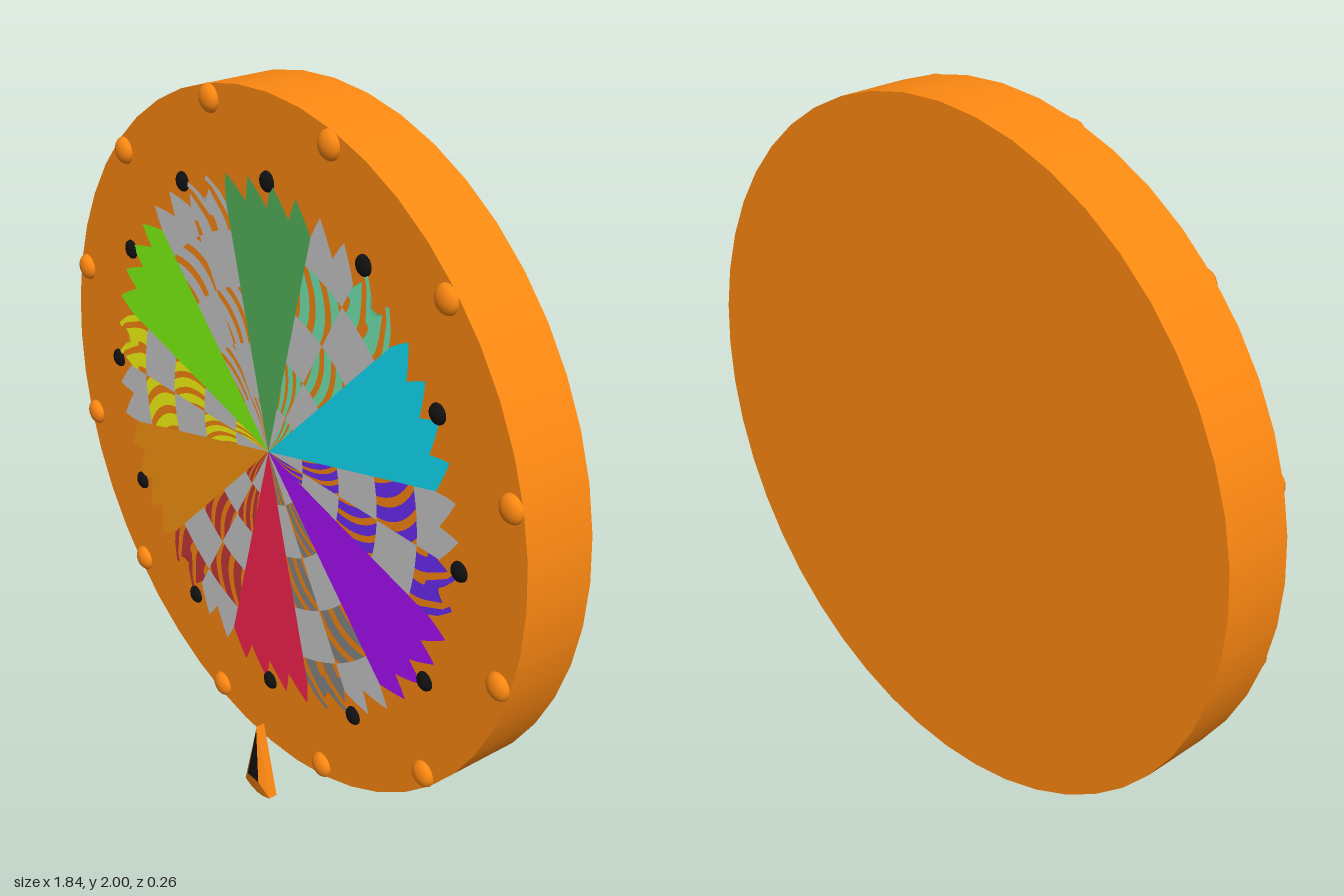
import * as THREE from 'three';

const CY = 1.08, FRONT = 0.065, R = 0.71, STEP = Math.PI / 6;
const ORANGE = 0xff8912;

const mat = (color, side = THREE.FrontSide) => new THREE.MeshStandardMaterial({ color, side });

// outer radius of the fan: slanted saw teeth, four per sector
function toothRadius(a) {
  const p = (((a + STEP / 2) / STEP * 4) % 1 + 1) % 1;
  return p < 0.82 ? 0.645 + 0.065 * p / 0.82 : 0.71 - 0.065 * (p - 0.82) / 0.18;
}

// flat patch between two radii; left(t) and right(t) give its side angles
function patch(r0, r1, left, right, nu, nv, z) {
  const g = new THREE.PlaneGeometry(1, 1, nu, nv);
  const p = g.attributes.position;
  for (let i = 0; i < p.count; i++) {
    const u = p.getX(i) + 0.5, t = p.getY(i) + 0.5;
    const a = left(t) + (right(t) - left(t)) * u;
    const end = r1 >= R ? toothRadius(a) : r1;
    const r = r0 + (end - r0) * t;
    p.setXYZ(i, r * Math.cos(a), r * Math.sin(a), z);
  }
  g.computeVertexNormals();
  return g;
}

export function createModel() {
  const root = new THREE.Group();
  const wheel = new THREE.Group();
  wheel.name = 'wheel';
  wheel.position.y = CY;
  root.add(wheel);

  const add = (parent, name, geometry, material) => {
    const m = new THREE.Mesh(geometry, material);
    m.name = name;
    parent.add(m);
    return m;
  };

  // thick round board
  const board = add(wheel, 'board', new THREE.CylinderGeometry(0.92, 0.92, 0.195, 48), mat(ORANGE));
  board.rotation.x = Math.PI / 2;
  board.position.z = FRONT - 0.0975;

  // sectors counter-clockwise from +x: checkered ones alternate with solid ones
  const colors = [0x6e2eff, 0x12e4ff, 0x76f0b8, 0x55b85c, 0xcccccc, 0x82ff12,
    0xffff12, 0xff9912, 0xcc3838, 0xff2450, 0x8a8a8a, 0xad10ff];
  const grey = mat(0xcccccc, THREE.DoubleSide);
  const clamp = (v) => Math.min(1, Math.max(0, v));
  colors.forEach((color, i) => {
    const a0 = (i - 0.5) * STEP;
    const paint = mat(color, THREE.DoubleSide);
    if (i % 2) {
      add(wheel, 'solidSector', patch(0, R, () => a0, () => a0 + STEP, 40, 1, FRONT + 0.003), paint);
      return;
    }
    const sector = new THREE.Group();
    sector.name = 'checkeredSector';
    wheel.add(sector);
    for (let half = 0; half < 2; half++) {
      const h0 = a0 + half * STEP / 2, span = STEP / 2;
      for (let ring = 0; ring < 5; ring++) {
        const r0 = ring * R / 5, r1 = ring === 4 ? R : (ring + 1) * R / 5;
        if ((ring + half) % 2) {
          add(sector, 'greyCell', patch(r0, r1, () => h0, () => h0 + span, 20, 2, FRONT + 0.003), grey);
          continue;
        }
        // slanted curved stripes, clipped to the cell
        for (let k = -1; k < 2; k++) {
          const edge = (off) => (t) => h0 + span * clamp(k * 0.5 + off + 0.55 * t * t);
          add(sector, 'stripe', patch(r0, r1, edge(0.08), edge(0.38), 6, 8, FRONT + 0.003), paint);
        }
      }
    }
  });

  // dark pegs round the fan and bulbs round the rim
  const black = mat(0x111111);
  const orange = mat(ORANGE);
  const pegGeo = new THREE.SphereGeometry(0.026, 12, 8);
  const bulbGeo = new THREE.SphereGeometry(0.036, 16, 12);
  for (let i = 0; i < 12; i++) {
    const ring = [['peg', pegGeo, black, 0.71, i * STEP], ['bulb', bulbGeo, orange, 0.885, (i + 0.5) * STEP]];
    for (const [name, geo, material, r, a] of ring) {
      const m = add(wheel, name, geo, material);
      m.position.set(r * Math.cos(a), r * Math.sin(a), FRONT);
      m.scale.z = 0.6;
    }
  }

  // pointer below the wheel: plate, bevelled rim and dark sloping face
  const pointer = new THREE.Group();
  pointer.name = 'pointer';
  root.add(pointer);
  const outline = [[0, 0.232], [-0.057, 0.015], [-0.03, 0.004], [0, 0], [0.03, 0.004], [0.057, 0.015]];
  const shape = new THREE.Shape(outline.map(([x, y]) => new THREE.Vector2(x, y)));
  const plate = add(pointer, 'pointerPlate',
    new THREE.ExtrudeGeometry(shape, { depth: 0.025, bevelEnabled: false }), orange);
  plate.position.z = 0.09;

  const outer = outline.map(([x, y]) => [x, y, 0.115]);
  const inner = [[0, 0.22, 0.117], [-0.025, 0.06, 0.13], [-0.013, 0.06, 0.13],
    [0, 0.06, 0.13], [0.013, 0.06, 0.13], [0.025, 0.06, 0.13]];
  const rim = [];
  outer.forEach((o, i) => {
    const j = (i + 1) % outer.length;
    rim.push(...o, ...outer[j], ...inner[j], ...o, ...inner[j], ...inner[i]);
  });
  const surface = (points) => {
    const g = new THREE.BufferGeometry();
    g.setAttribute('position', new THREE.Float32BufferAttribute(points, 3));
    g.computeVertexNormals();
    return g;
  };
  add(pointer, 'pointerRim', surface(rim), orange);
  add(pointer, 'pointerFace', surface([...inner[0], ...inner[1], ...inner[5]]), black);

  // centre the depth on z = 0
  root.children.forEach((c) => { c.position.z += 0; });
  return root;
}
